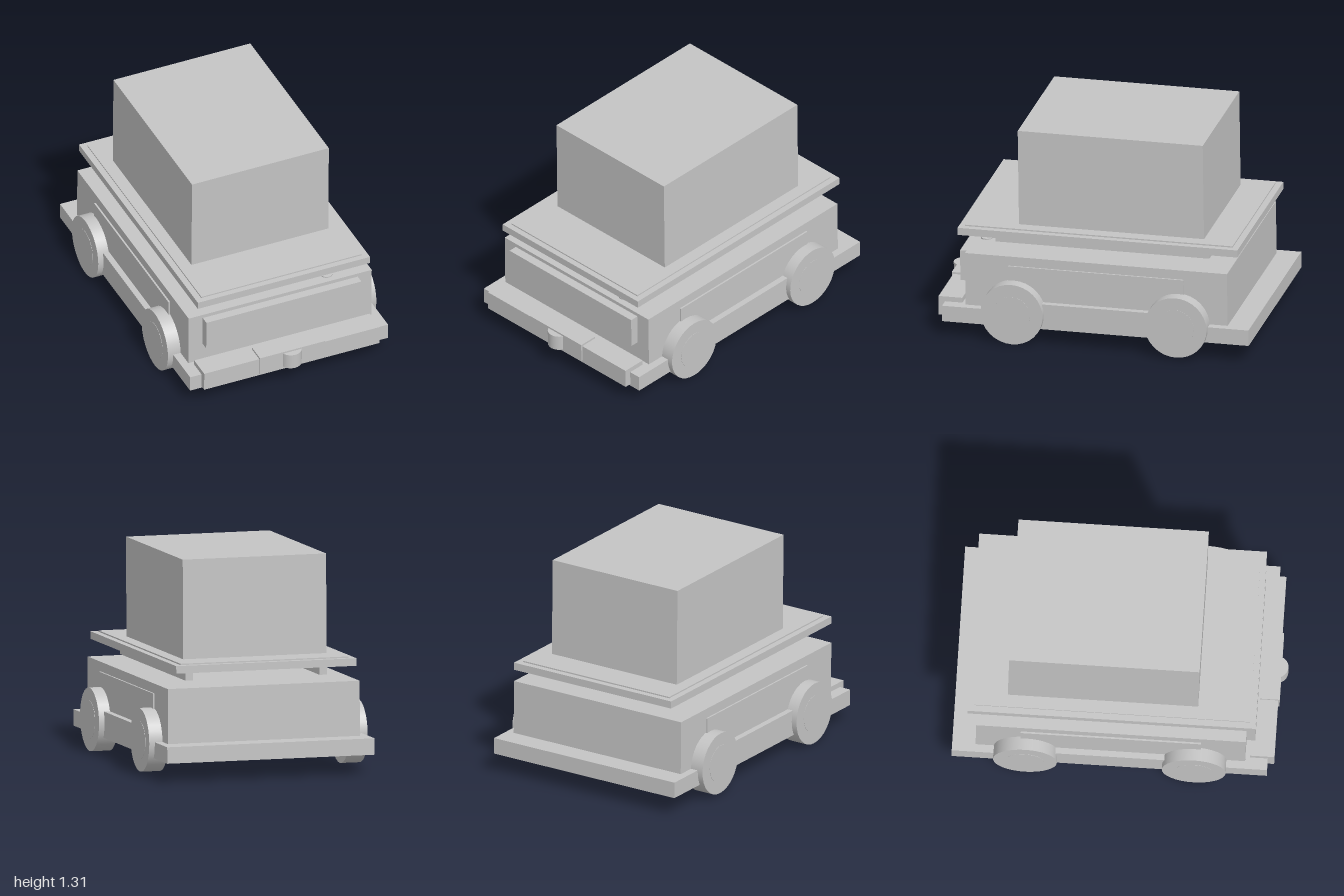
import * as THREE from 'three';

const grey = new THREE.MeshStandardMaterial({ color: 0xc4c4c4 });
grey.name = 'plainGrey';

export function createModel() {
  const model = new THREE.Group();
  model.name = 'railCart';
  // The whole cart pitches slightly nose-down
  const cart = new THREE.Group();
  cart.name = 'pitchedCart';
  cart.rotation.x = 0.0135;
  model.add(cart);

  const add = (name, geometry) => {
    const mesh = new THREE.Mesh(geometry, grey);
    mesh.name = name;
    cart.add(mesh);
    return mesh;
  };
  // Box given by its limits on each axis
  const box = (name, x0, x1, y0, y1, z0, z1) =>
    add(name, new THREE.BoxGeometry(x1 - x0, y1 - y0, z1 - z0))
      .position.set((x0 + x1) / 2, (y0 + y1) / 2, (z0 + z1) / 2);

  // Chassis and body
  box('chassisPlate', -0.655, 0.655, 0.107, 0.207, -0.998, 0.908);
  box('body', -0.606, 0.606, 0.2, 0.542, -0.857, 0.773);
  box('frontPanel', -0.513, 0.513, 0.326, 0.519, 0.77, 0.827);

  // Bumper with centre block and round coupler
  box('bumper', -0.58, 0.58, 0.118, 0.238, 0.8, 0.948);
  box('bumperBlock', -0.215, 0.215, 0.13, 0.25, 0.837, 0.957);
  add('coupler', new THREE.CylinderGeometry(0.068, 0.068, 0.098, 24)).position.set(0, 0.19, 0.929);

  // Small round cap on the bonnet
  add('bonnetCap', new THREE.CylinderGeometry(0.036, 0.036, 0.012, 24)).position.set(0.337, 0.543, 0.703);

  // Mirrored side parts
  for (const s of [-1, 1]) {
    const span = (name, a, b, ...rest) => box(name, Math.min(s * a, s * b), Math.max(s * a, s * b), ...rest);
    span('sidePanel', 0.6, 0.617, 0.25, 0.483, -0.587, 0.503);
    span('sideSill', 0.6, 0.655, 0.2, 0.268, -0.4, 0.32);
    span('deckRail', 0.4, 0.447, 0.568, 0.614, -0.708, 0.622);
    for (const z of [0.467, -0.553]) {
      const wheel = add('wheel', new THREE.CylinderGeometry(0.193, 0.193, 0.118, 32));
      wheel.rotation.z = Math.PI / 2;
      wheel.position.set(s * 0.631, 0.2, z);
      const hub = add('wheelHub', new THREE.CylinderGeometry(0.115, 0.115, 0.01, 32));
      hub.rotation.z = Math.PI / 2;
      hub.position.set(s * 0.6865, 0.2, z);
    }
  }

  // Cross roller between the rails
  const roller = add('crossRoller', new THREE.CylinderGeometry(0.03, 0.03, 0.82, 20));
  roller.rotation.z = Math.PI / 2;
  roller.position.set(0, 0.591, -0.038);

  // Raised deck carrying the cargo box
  box('deck', -0.57, 0.57, 0.641, 0.687, -0.914, 0.826);
  box('deckMat', -0.531, 0.531, 0.68, 0.695, -0.875, 0.79);
  box('cargoBox', -0.453, 0.453, 0.69, 1.301, -0.678, 0.473);

  return model;
}
